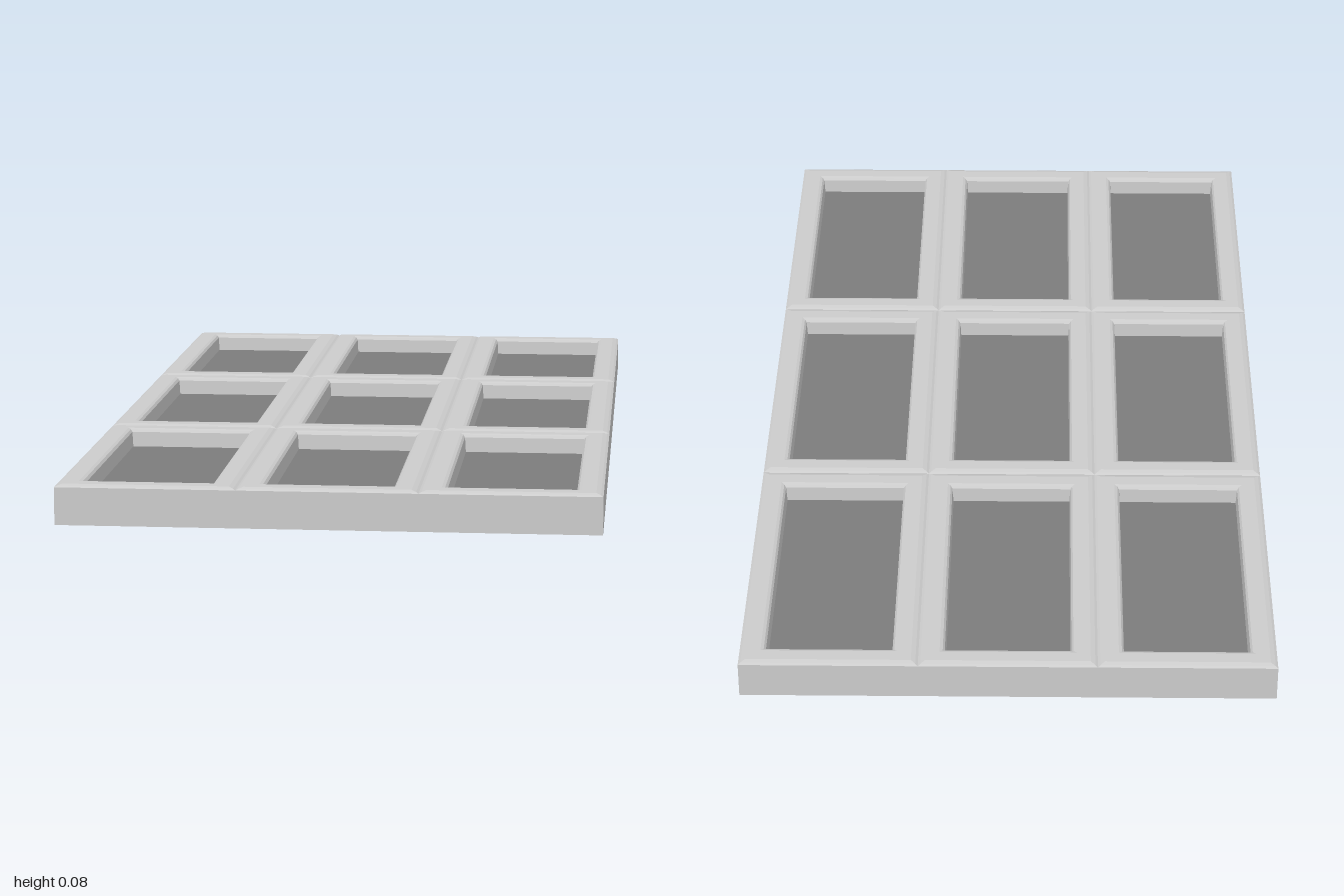
import * as THREE from 'three';

const W = 1.067, L = 2, FLOOR = 0.042;
const CW = W / 3, CL = L / 3;

// Rectangular frame: a profile of [inset, height] points swept round a cell, mitred at the corners
function frameGeometry(profile) {
  const pos = [];
  const corners = [[-1, 1], [1, 1], [1, -1], [-1, -1]];
  const at = ([sx, sz], [inset, y]) => [sx * (CW / 2 - inset), y, sz * (CL / 2 - inset)];
  for (let i = 0; i < profile.length - 1; i++) {
    for (let k = 0; k < 4; k++) {
      const c0 = corners[k], c1 = corners[(k + 1) % 4];
      const a = at(c0, profile[i]), b = at(c1, profile[i]);
      const c = at(c1, profile[i + 1]), d = at(c0, profile[i + 1]);
      pos.push(...a, ...b, ...c, ...a, ...c, ...d);
    }
  }
  const g = new THREE.BufferGeometry();
  g.setAttribute('position', new THREE.Float32BufferAttribute(pos, 3));
  g.computeVertexNormals();
  return g;
}

export function createModel() {
  const group = new THREE.Group();
  const frameMat = new THREE.MeshStandardMaterial({ color: 0xcccccc });
  const panelMat = new THREE.MeshStandardMaterial({ color: 0x7c7c7c });

  // Outer wall, softly crowned top, inner wall down to the panel
  const frameGeo = frameGeometry([
    [0, 0], [0, 0.075], [0.005, 0.0775], [0.014, 0.08],
    [0.042, 0.08], [0.048, 0.078], [0.052, 0.073], [0.054, FLOOR],
  ]);
  const panelGeo = new THREE.PlaneGeometry(CW - 0.108, CL - 0.108).rotateX(-Math.PI / 2);

  // Three by three grid of framed, recessed panels
  for (let row = -1; row <= 1; row++) {
    for (let col = -1; col <= 1; col++) {
      const cell = new THREE.Group();
      cell.name = 'cell';
      const frame = new THREE.Mesh(frameGeo, frameMat);
      frame.name = 'frame';
      const panel = new THREE.Mesh(panelGeo, panelMat);
      panel.name = 'recessedPanel';
      panel.position.y = FLOOR;
      cell.add(frame, panel);
      cell.position.set(col * CW, 0, row * CL);
      group.add(cell);
    }
  }

  // Flat underside
  const underside = new THREE.Mesh(new THREE.PlaneGeometry(W, L).rotateX(Math.PI / 2), frameMat);
  underside.name = 'underside';
  group.add(underside);
  return group;
}
